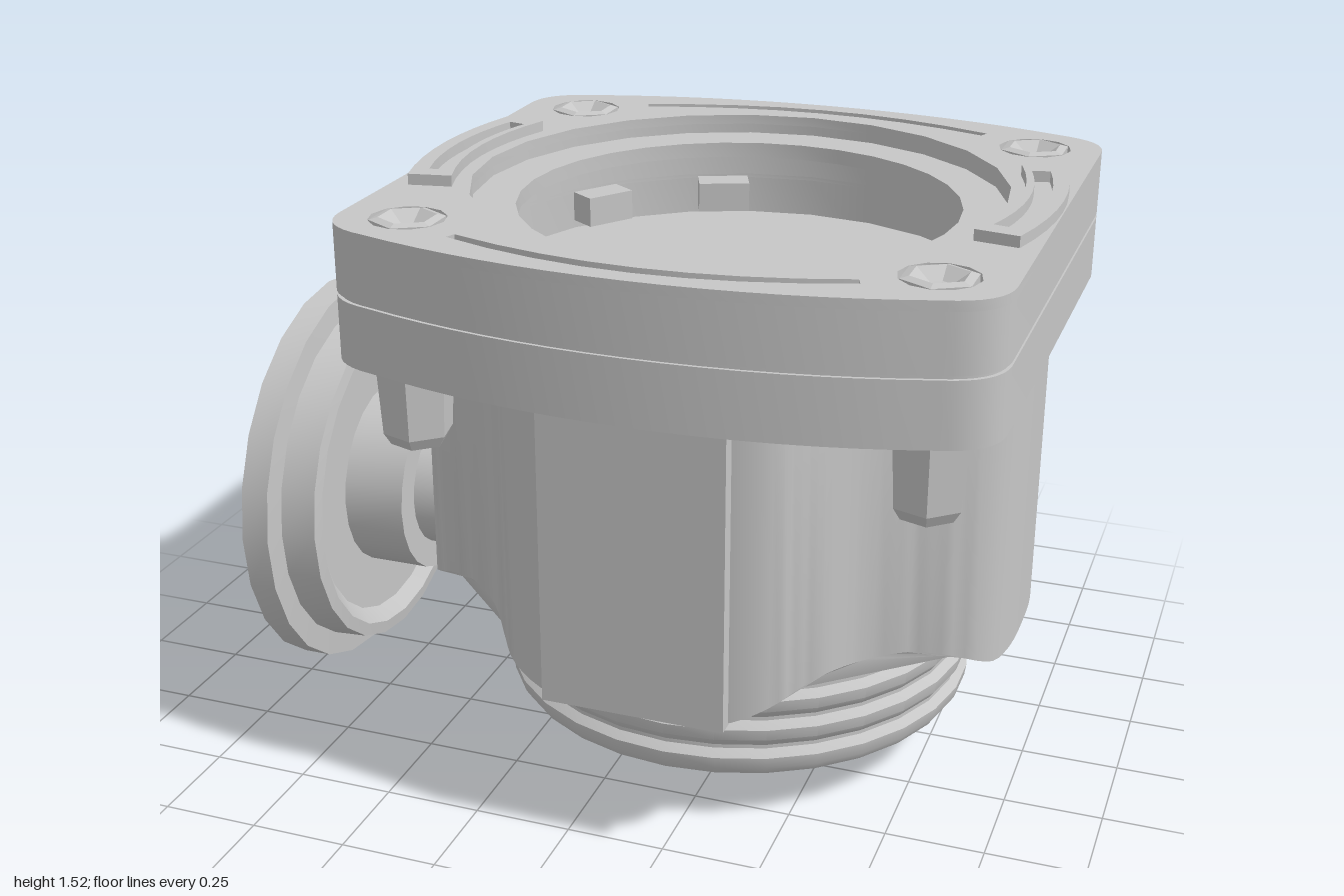
import * as THREE from 'three';
import { toCreasedNormals } from 'three/addons/utils/BufferGeometryUtils.js';

export function createModel() {
  const model = new THREE.Group();
  const housing = new THREE.Group(); // everything centred on the vertical axis
  housing.name = 'housing';
  housing.position.x = 0.185;
  model.add(housing);
  const metal = new THREE.MeshStandardMaterial({ color: 0xc6c6c6 });
  metal.name = 'grey metal';

  const add = (name, geo, parent = housing) => {
    const mesh = new THREE.Mesh(geo, metal);
    mesh.name = name;
    parent.add(mesh);
    return mesh;
  };
  // Extrude a plan outline upwards from y0 to y1
  const slab = (shape, y0, y1) => {
    const g = new THREE.ExtrudeGeometry(shape, { depth: y1 - y0, bevelEnabled: false, curveSegments: 8 });
    g.rotateX(-Math.PI / 2);
    g.translate(0, y0, 0);
    return g;
  };
  const smooth = (g, angle = 0.55) => toCreasedNormals(g, angle);
  const faceted = g => {
    const flat = g.toNonIndexed();
    flat.computeVertexNormals();
    return flat;
  };
  const lathe = (pts, seg) => new THREE.LatheGeometry(pts.map(p => new THREE.Vector2(...p)), seg);
  const polygon = (r, n, x = 0, y = 0) => new THREE.Path(Array.from({ length: n }, (_, i) => {
    const a = i / n * Math.PI * 2;
    return new THREE.Vector2(x + r * Math.cos(a), y + r * Math.sin(a));
  }));
  const corners = [[1, 1], [-1, 1], [-1, -1], [1, -1]];
  const boltX = 0.64, boltZ = 0.565;

  // Cover outline: straight sides, bowed front and back
  const coverShape = (s = 1) => {
    const p = new THREE.Shape();
    p.moveTo(0.813 * s, -0.58 * s);
    p.lineTo(0.813 * s, 0.58 * s);
    p.quadraticCurveTo(0.81 * s, 0.69 * s, 0.68 * s, 0.72 * s);
    p.quadraticCurveTo(0.36 * s, 0.825 * s, 0, 0.825 * s);
    p.quadraticCurveTo(-0.36 * s, 0.825 * s, -0.68 * s, 0.72 * s);
    p.quadraticCurveTo(-0.81 * s, 0.69 * s, -0.813 * s, 0.58 * s);
    p.lineTo(-0.813 * s, -0.58 * s);
    p.quadraticCurveTo(-0.81 * s, -0.69 * s, -0.68 * s, -0.72 * s);
    p.quadraticCurveTo(-0.36 * s, -0.825 * s, 0, -0.825 * s);
    p.quadraticCurveTo(0.36 * s, -0.825 * s, 0.68 * s, -0.72 * s);
    p.quadraticCurveTo(0.81 * s, -0.69 * s, 0.813 * s, -0.58 * s);
    p.holes.push(polygon(0.675, 24));
    return p;
  };
  add('lowerFlange', smooth(slab(coverShape(), 1.147, 1.31)));
  add('gasket', smooth(slab(coverShape(0.99), 1.31, 1.32)));
  add('coverPlate', smooth(slab(coverShape(), 1.32, 1.465)));

  // Cover face with curved grooves and bolt recesses
  const face = coverShape();
  for (const s of [1, -1]) {
    const groove = new THREE.Path();
    groove.moveTo(-0.49, 0.67 * s);
    groove.quadraticCurveTo(0, 0.87 * s, 0.49, 0.67 * s);
    groove.lineTo(0.48, 0.645 * s);
    groove.quadraticCurveTo(0, 0.82 * s, -0.48, 0.645 * s);
    groove.closePath();
    face.holes.push(groove);
  }
  for (const [sx, sz] of corners) face.holes.push(polygon(0.095, 12, sx * boltX, sz * boltZ));
  add('coverFace', smooth(slab(face, 1.465, 1.49)));

  // Retaining ring and recessed disc in the opening
  const ring = new THREE.Shape(polygon(0.68, 24).getPoints());
  ring.holes.push(polygon(0.56, 32));
  add('retainingRing', smooth(slab(ring, 1.4, 1.44)));
  add('innerDisc', new THREE.CylinderGeometry(0.68, 0.68, 0.05, 32).translate(0, 1.185, 0));
  for (const a of [0.6, 1.19, 0.6 + Math.PI, 1.19 + Math.PI]) {
    const block = add('innerBlock', new THREE.BoxGeometry(0.08, 0.08, 0.14));
    block.position.set(Math.cos(a) * 0.61, 1.28, Math.sin(a) * 0.61);
    block.rotation.y = -a;
  }

  // Curved raised grips on the two sides of the cover
  const grip = new THREE.Shape();
  grip.moveTo(0.655, -0.29);
  grip.lineTo(0.765, -0.31);
  grip.quadraticCurveTo(0.855, 0, 0.765, 0.31);
  grip.lineTo(0.655, 0.29);
  grip.quadraticCurveTo(0.76, 0, 0.655, -0.29);
  const slot = new THREE.Path();
  slot.moveTo(0.69, -0.24);
  slot.lineTo(0.735, -0.25);
  slot.quadraticCurveTo(0.81, 0, 0.735, 0.25);
  slot.lineTo(0.69, 0.24);
  slot.quadraticCurveTo(0.765, 0, 0.69, -0.24);
  grip.holes.push(slot);
  for (const turn of [0, Math.PI]) {
    add('coverGrip', smooth(slab(grip, 1.485, 1.518))).rotation.y = turn;
  }

  // Bolt heads with sockets, and the tapered ends below
  for (const [sx, sz] of corners) {
    const head = lathe([[0.092, 1.46], [0.092, 1.49], [0.07, 1.496], [0.03, 1.47], [0, 1.467]], 6);
    add('boltHead', faceted(head)).position.set(sx * boltX, 0, sz * boltZ);
    const end = lathe([[0, 0.915], [0.07, 0.92], [0.088, 0.95], [0.1, 1.16]], 6);
    const boltEnd = add('boltEnd', faceted(end));
    boltEnd.position.set(sx * boltX, 0, sz * boltZ);
    boltEnd.rotation.y = 0.2;
  }

  // Body: hollow wall with four lobes, shallow hollows at the bolts and an arched lower edge
  const quarter = [[0.795, 0], [0.785, 0.17], [0.75, 0.27], [0.66, 0.35], [0.575, 0.41], [0.49, 0.49], [0.43, 0.57], [0.385, 0.64], [0.33, 0.71], [0.23, 0.75], [0, 0.76]];
  const half = [...quarter, ...quarter.slice(0, -1).reverse().map(([x, z]) => [-x, z])];
  const loop = [...half, ...half.slice(1, -1).reverse().map(([x, z]) => [x, -z])];
  const outline = new THREE.CatmullRomCurve3(loop.map(([x, z]) => new THREE.Vector3(x, z, 0)), true);
  const wallPoints = s => outline.getPoints(144).slice(0, -1).map(p => new THREE.Vector2(p.x * s, p.y * s));
  const bodyShape = new THREE.Shape(wallPoints(1));
  bodyShape.holes.push(new THREE.Path(wallPoints(0.94)));
  const bodyGeo = slab(bodyShape, 0.385, 1.16);
  const pos = bodyGeo.attributes.position;
  for (let i = 0; i < pos.count; i++) {
    if (pos.getY(i) > 0.5) continue;
    const s = Math.abs(Math.sin(2 * Math.atan2(pos.getZ(i), pos.getX(i))));
    pos.setY(i, 0.385 + 0.085 * THREE.MathUtils.smoothstep(s, 0.5, 1));
  }
  add('body', smooth(bodyGeo, 0.6)).position.x = -0.007;
  for (const s of [1, -1]) {
    add('bodyPad', new THREE.BoxGeometry(0.46, 0.77, 0.06).translate(0, 0.77, s * 0.757));
  }

  // Threaded neck underneath, carried up inside the body
  const thread = [[0, 0.142], [0.603, 0.142]];
  for (let i = 0; i < 4; i++) {
    const y = 0.145 + i * 0.08;
    thread.push([0.618, y + 0.02], [0.622, y + 0.05], [0.602, y + 0.068], [0.602, y + 0.078]);
  }
  thread.push([0.59, 0.5], [0.59, 1.16]);
  add('threadedNeck', smooth(lathe(thread, 30), 0.5)).position.x = 0.02;

  // Side pipe and dished flange along the x axis
  const pipe = lathe([
    [0.18, 0.38], [0.18, 0.68], [0.255, 0.68], [0.255, 0.85], [0.4, 0.85], [0.44, 0.82],
    [0.475, 0.825], [0.48, 0.92], [0.545, 0.925], [0.545, 1], [0.49, 1], [0.45, 0.91],
    [0.35, 0.9], [0.33, 0.93], [0.24, 0.93], [0.2, 0.7], [0, 0.7],
  ], 24);
  pipe.rotateZ(Math.PI / 2);
  add('sidePipe', smooth(pipe, 0.5), model).position.y = 0.545;

  return model;
}
